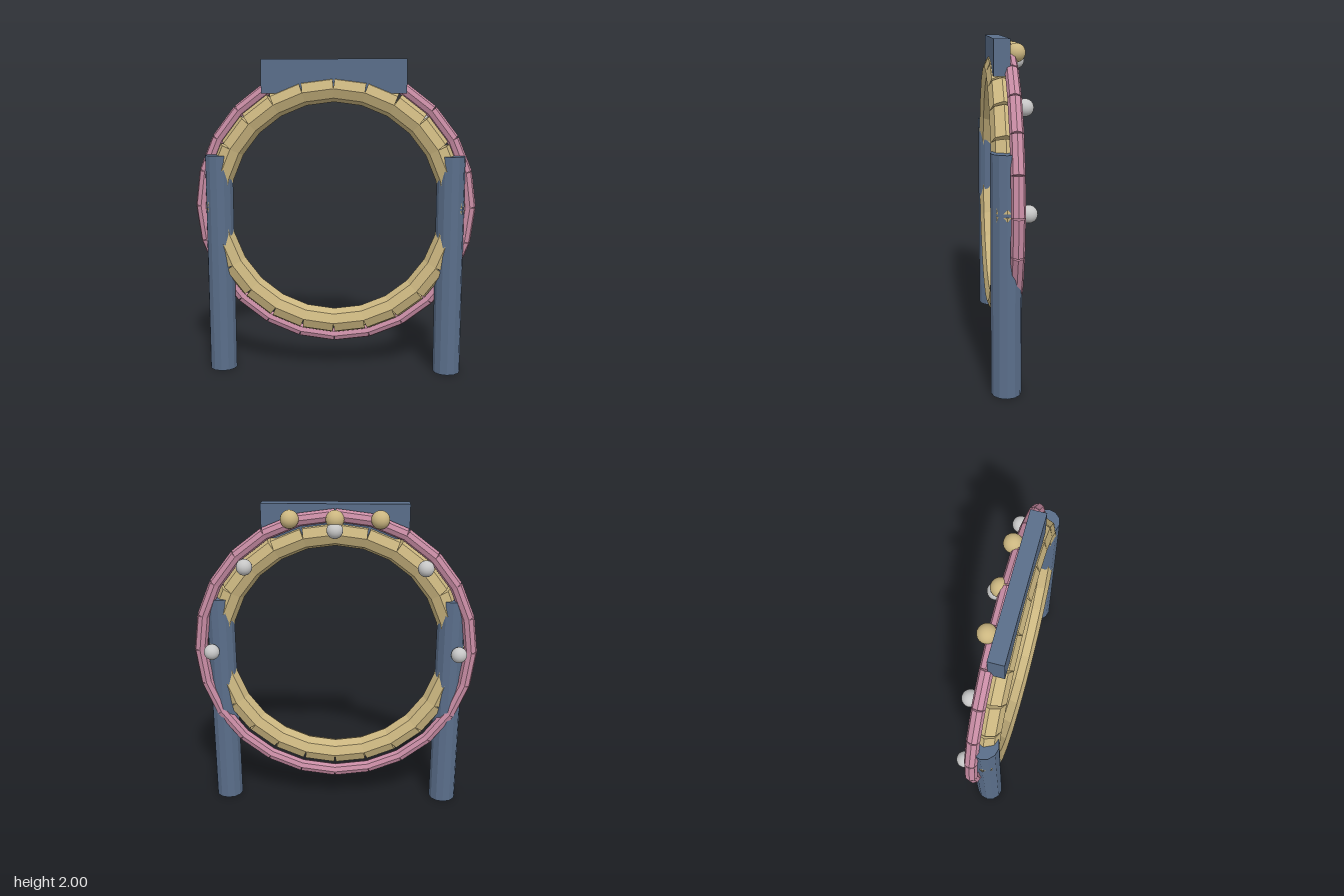
import * as THREE from 'three';

const mat = (name, color) => {
  const m = new THREE.MeshStandardMaterial({ color });
  m.name = name;
  return m;
};

// Faceted normals for the low-poly parts
const faceted = (geometry) => {
  const g = geometry.toNonIndexed();
  g.computeVertexNormals();
  return g;
};

export function createModel() {
  const slate = mat('slate blue', 0x5a6e8a);
  const sand = mat('sand gold', 0xcbb680);
  const pink = mat('dusty pink', 0xc88ca4);
  const silver = mat('silver', 0xc6c6c6);

  const model = new THREE.Group();
  model.name = 'ringGate';
  const centreY = 1.075;

  const add = (parent, name, geometry, material, x, y, z) => {
    const mesh = new THREE.Mesh(geometry, material);
    mesh.name = name;
    mesh.position.set(x, y, z);
    parent.add(mesh);
    return mesh;
  };

  // Ring made of straight eight-sided bars laid end to end
  const addRing = (name, radius, tube, z, material) => {
    const ring = new THREE.Group();
    ring.name = name;
    ring.position.set(0, centreY, z);
    const count = 24;
    const half = Math.PI / count;
    const bar = faceted(new THREE.CylinderGeometry(tube, tube, 2 * radius * Math.sin(half), 8));
    const mid = radius * Math.cos(half);
    for (let i = 0; i < count; i++) {
      const a = (2 * i + 1) * half;
      add(ring, name + 'Segment', bar, material, mid * Math.cos(a), mid * Math.sin(a), 0).rotation.z = a;
    }
    model.add(ring);
  };
  addRing('innerRing', 0.745, 0.08, 0.04, sand);
  addRing('outerRing', 0.86, 0.04, -0.015, pink);

  // Side pillars
  const pillar = faceted(new THREE.CylinderGeometry(0.088, 0.088, 1.405, 12));
  add(model, 'leftPillar', pillar, slate, 0.733, 0.7025, 0.04);
  add(model, 'rightPillar', pillar, slate, -0.733, 0.7025, 0.04);

  // Top beam
  add(model, 'topBeam', new THREE.BoxGeometry(0.9, 0.21, 0.094), slate, 0, 1.895, 0.043);

  // Gold knobs behind the beam
  const knob = new THREE.SphereGeometry(0.056, 20, 14);
  for (const x of [-0.272, 0, 0.272]) add(model, 'goldKnob', knob, sand, x, 1.915, -0.053);

  // Silver beads around the upper half of the back
  const bead = new THREE.SphereGeometry(0.05, 20, 14);
  for (let i = 0; i < 5; i++) {
    const a = (i * Math.PI) / 4;
    add(model, 'silverBead', bead, silver, 0.78 * Math.cos(a), centreY + 0.78 * Math.sin(a), -0.078);
  }

  return model;
}
